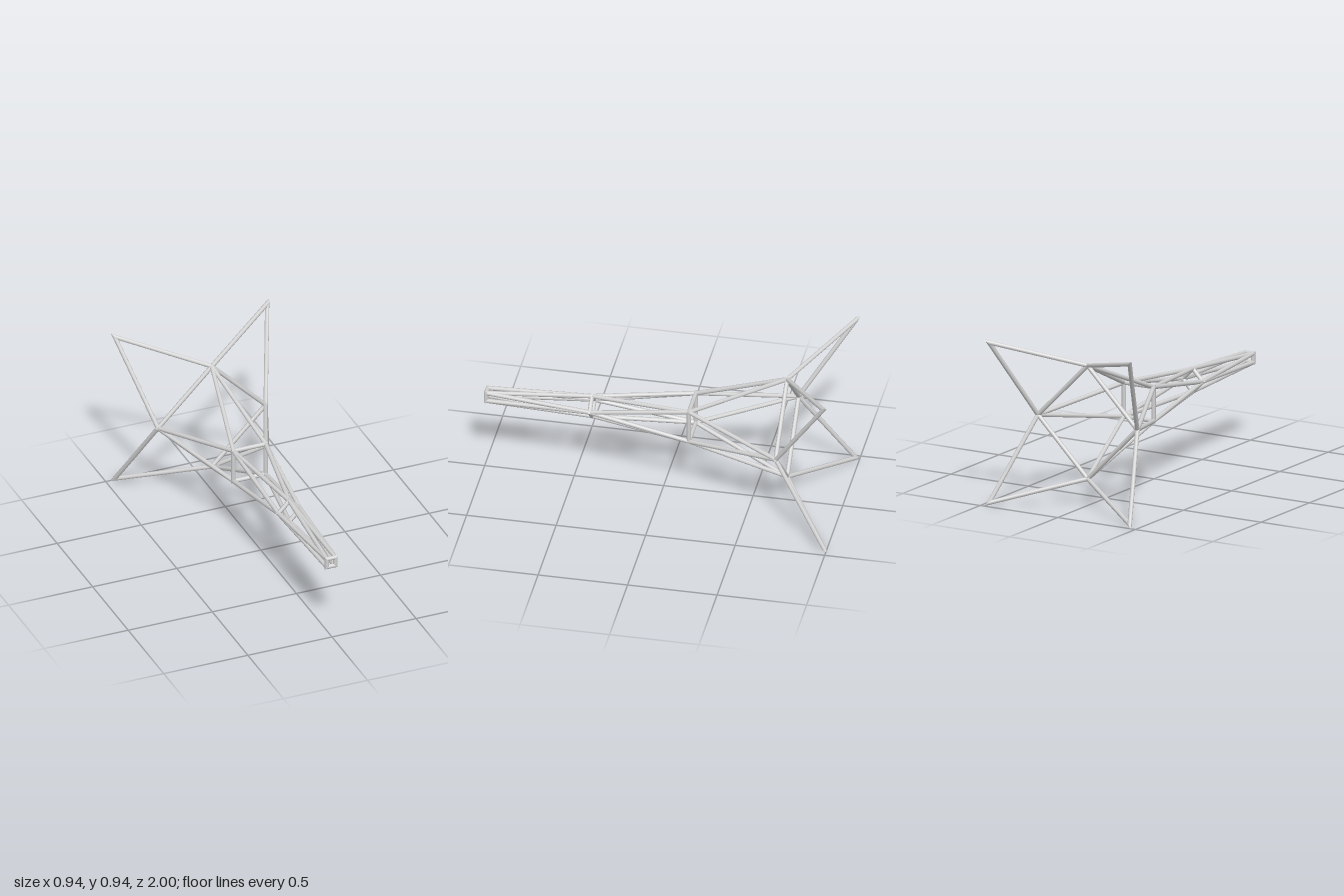
import * as THREE from 'three';

const RADIUS = 0.0125, SIDES = 8, MID_Y = 0.47;
const UP = new THREE.Vector3(0, 1, 0);

// Four corners of a ring around the long axis; r is centre to corner.
function ring(r, z, diagonal) {
  return [0, 1, 2, 3].map((i) => {
    const a = (i + (diagonal ? 0.5 : 0)) * Math.PI / 2;
    return new THREE.Vector3(r * Math.cos(a), MID_Y + r * Math.sin(a), z);
  });
}

// Round bar from a to b; each end may be cut to a mitre plane with the given normal.
function bar(a, b, material, name, cutA, cutB) {
  const d = b.clone().sub(a);
  const length = d.length();
  d.normalize();
  const geo = new THREE.CylinderGeometry(RADIUS, RADIUS, length, SIDES);
  geo.applyQuaternion(new THREE.Quaternion().setFromUnitVectors(UP, d));
  const c = a.clone().add(b).multiplyScalar(0.5);
  geo.translate(c.x, c.y, c.z);
  const pos = geo.attributes.position, v = new THREE.Vector3();
  for (let i = 0; i < pos.count; i++) {
    v.fromBufferAttribute(pos, i);
    const atB = v.clone().sub(c).dot(d) > 0;
    const n = atB ? cutB : cutA;
    if (!n) continue;
    const t = n.dot((atB ? b : a).clone().sub(v)) / n.dot(d);
    v.addScaledVector(d, t);
    pos.setXYZ(i, v.x, v.y, v.z);
  }
  const mesh = new THREE.Mesh(geo, material);
  mesh.name = name;
  return mesh;
}

// Normal of the plane halving the corner p between points q and r.
function mitre(p, q, r) {
  const u = q.clone().sub(p).normalize(), w = r.clone().sub(p).normalize();
  return u.sub(w).normalize();
}

export function createModel() {
  const steel = new THREE.MeshStandardMaterial({ color: 0xd2d2d2 });
  steel.name = 'light grey metal';
  const model = new THREE.Group();
  model.name = 'trussFrame';

  const rings = [
    ring(0.025 * Math.SQRT2, 0.987, true),   // nose square
    ring(0.065, 0.4, false),                 // neck diamond
    ring(0.096 * Math.SQRT2, -0.16, true),   // waist square
    ring(0.32, -0.69, false),                // shoulder diamond
    ring(0.453 * Math.SQRT2, -0.983, true),  // four free tips
  ];
  const names = ['nose', 'neck', 'waist', 'shoulder', 'tip'];

  // Closed frames, mitred at the corners
  for (let k = 0; k < 4; k++) {
    const p = rings[k], frame = new THREE.Group();
    frame.name = names[k] + 'Frame';
    for (let i = 0; i < 4; i++) {
      const a = p[i], b = p[(i + 1) % 4];
      frame.add(bar(a, b, steel, 'frameBar',
        mitre(a, p[(i + 3) % 4], b), mitre(b, a, p[(i + 2) % 4])));
    }
    model.add(frame);
  }

  // Zigzag struts: each square corner joins its two neighbouring diamond corners
  for (let k = 0; k < 4; k++) {
    const squareFirst = k % 2 === 0;
    const square = rings[squareFirst ? k : k + 1];
    const diamond = rings[squareFirst ? k + 1 : k];
    const struts = new THREE.Group();
    struts.name = names[k] + 'To' + names[k + 1] + 'Struts';
    for (let i = 0; i < 4; i++) {
      const p = square[i], q = diamond[i], r = diamond[(i + 1) % 4];
      const cut = k === 3 ? mitre(p, q, r) : null; // only the tips are pointed
      struts.add(bar(p, q, steel, 'strut', cut), bar(p, r, steel, 'strut', cut));
    }
    model.add(struts);
  }
  return model;
}
